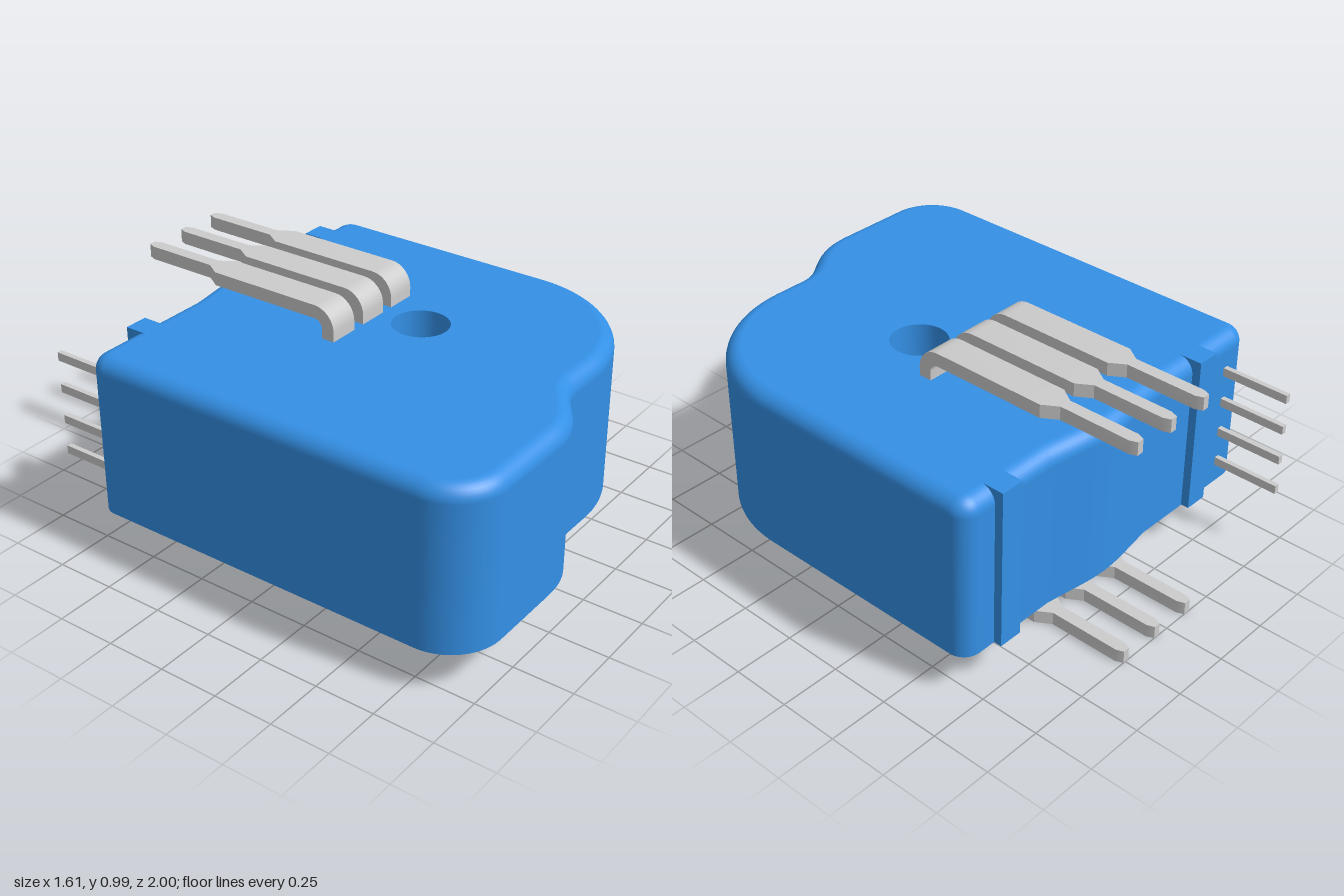
import * as THREE from 'three';
import { toCreasedNormals } from 'three/addons/utils/BufferGeometryUtils.js';

const blue = new THREE.MeshStandardMaterial({ color: 0x3490e6, side: THREE.DoubleSide });
const grey = new THREE.MeshStandardMaterial({ color: 0xcccccc });
const black = new THREE.MeshStandardMaterial({ color: 0x080808, side: THREE.DoubleSide });

const BOTTOM = 0.18, TOP = 0.855, ROUND = 0.065;
const HOLE = { x: 0.135, v: -0.145, r: 0.115 };

function add(parent, name, geometry, material) {
  const mesh = new THREE.Mesh(geometry, material);
  mesh.name = name;
  parent.add(mesh);
  return mesh;
}

// Plan outline, drawn with x right and v = -z up
function caseOutline() {
  const s = new THREE.Shape();
  s.moveTo(-0.81, 0.635);
  s.lineTo(-0.81, -0.78);
  s.absarc(-0.59, -0.78, 0.22, Math.PI, 1.5 * Math.PI);
  s.lineTo(-0.27, -1);
  s.bezierCurveTo(-0.05, -1, -0.02, -0.85, 0.12, -0.85);
  s.lineTo(0.25, -0.85);
  s.absarc(0.25, -0.3, 0.55, 1.5 * Math.PI, 2 * Math.PI);
  s.lineTo(0.8, 0.635);
  s.absarc(0.725, 0.635, 0.075, 0, Math.PI / 2);
  s.lineTo(0.36, 0.71);
  s.bezierCurveTo(0.24, 0.725, 0.16, 0.745, 0.07, 0.745);
  s.bezierCurveTo(-0.02, 0.745, -0.1, 0.725, -0.22, 0.71);
  s.lineTo(-0.735, 0.71);
  s.absarc(-0.735, 0.635, 0.075, Math.PI / 2, Math.PI);
  const pts = s.getPoints(20);
  return pts.filter((p, i) => p.distanceTo(pts[(i + 1) % pts.length]) > 1e-5);
}

function outwardNormals(pts) {
  const n = pts.length;
  return pts.map((p, i) => {
    const a = p.clone().sub(pts[(i + n - 1) % n]).normalize();
    const t = pts[(i + 1) % n].clone().sub(p).normalize().add(a).normalize();
    return new THREE.Vector2(t.y, -t.x);
  });
}

// Side wall with a rounded top edge
function wallGeometry(pts, normals) {
  const rows = [[BOTTOM, 0, 0]], steps = 8, n = pts.length;
  for (let k = 0; k <= steps; k++) {
    const a = (k / steps) * Math.PI / 2;
    rows.push([TOP - ROUND + ROUND * Math.sin(a), ROUND * (1 - Math.cos(a)), a]);
  }
  const pos = [], nor = [], idx = [];
  rows.forEach(([y, inset, a], r) => {
    for (let i = 0; i < n; i++) {
      const p = pts[i], m = normals[i], j = (i + 1) % n;
      pos.push(p.x - m.x * inset, y, -(p.y - m.y * inset));
      nor.push(m.x * Math.cos(a), Math.sin(a), -m.y * Math.cos(a));
      if (r > 0) {
        const lo = (r - 1) * n, hi = r * n;
        idx.push(lo + i, lo + j, hi + j, lo + i, hi + j, hi + i);
      }
    }
  });
  const g = new THREE.BufferGeometry();
  g.setAttribute('position', new THREE.Float32BufferAttribute(pos, 3));
  g.setAttribute('normal', new THREE.Float32BufferAttribute(nor, 3));
  g.setIndex(idx);
  return g;
}

function circlePath() {
  return new THREE.Path().absarc(HOLE.x, HOLE.v, HOLE.r, 0, 2 * Math.PI, true);
}

// Flat horizontal face at height y
function flatFace(pts, hole, y) {
  const s = new THREE.Shape(pts);
  s.holes.push(hole);
  return new THREE.ShapeGeometry(s, 24).rotateX(-Math.PI / 2).translate(0, y, 0);
}

// Collar round the hole, joined to a slotted bar that holds the lower leads
function bossGeometry() {
  const a = Math.asin(0.115 / 0.18);
  const s = new THREE.Shape();
  s.moveTo(-0.23, 0.145);
  s.lineTo(-0.23, -0.03);
  s.absarc(HOLE.x, HOLE.v, 0.18, Math.PI - a, 2 * Math.PI + a);
  s.lineTo(0.36, -0.03);
  s.lineTo(0.36, 0.145);
  s.closePath();
  const slot = new THREE.Path();
  slot.moveTo(-0.2, 0.005).lineTo(-0.2, 0.11).lineTo(0.33, 0.11).lineTo(0.33, 0.005).closePath();
  s.holes.push(circlePath(), slot);
  const g = new THREE.ExtrudeGeometry(s, { depth: 0.05, bevelEnabled: false, curveSegments: 24 });
  return toCreasedNormals(g.rotateX(-Math.PI / 2).translate(0, 0.13, 0), 0.5);
}

// Bent flat lead: rectangular sections swept up, round the bend and back to a narrow tip
function leadGeometry() {
  const R = 0.0625, T = 0.0275, z0 = -0.0575, y0 = 0.9575;
  const stations = [[z0, 0.8, 0, 0.065]];              // z, y, turn angle, half width
  for (let k = 0; k <= 8; k++) {
    const a = (k / 8) * Math.PI / 2;
    stations.push([z0 - R + R * Math.cos(a), y0 - R + R * Math.sin(a), a, 0.065]);
  }
  for (const [z, w] of [[-0.61, 0.065], [-0.67, 0.026], [-0.97, 0.026], [-1, 0.014]])
    stations.push([z, y0, Math.PI / 2, w]);
  const pos = [], idx = [];
  stations.forEach(([z, y, a, w], r) => {
    const dz = Math.cos(a) * T, dy = Math.sin(a) * T;
    pos.push(-w, y + dy, z + dz, w, y + dy, z + dz, w, y - dy, z - dz, -w, y - dy, z - dz);
    for (let i = 0; r > 0 && i < 4; i++) {
      const j = (i + 1) % 4, lo = (r - 1) * 4, hi = r * 4;
      idx.push(lo + i, lo + j, hi + j, lo + i, hi + j, hi + i);
    }
  });
  const e = (stations.length - 1) * 4;
  idx.push(e, e + 1, e + 2, e, e + 2, e + 3, 0, 2, 1, 0, 3, 2);
  const g = new THREE.BufferGeometry();
  g.setAttribute('position', new THREE.Float32BufferAttribute(pos, 3));
  g.setIndex(idx);
  return toCreasedNormals(g, 0.4);
}

export function createModel() {
  const model = new THREE.Group();
  model.name = 'currentSensor';

  // Case
  const outline = caseOutline(), normals = outwardNormals(outline);
  const inset = d => outline.map((p, i) => p.clone().addScaledVector(normals[i], -d));
  const housing = new THREE.Group();
  housing.name = 'case';
  model.add(housing);
  add(housing, 'caseWall', wallGeometry(outline, normals), blue);
  add(housing, 'caseTop', flatFace(inset(ROUND), circlePath(), TOP), blue);
  add(housing, 'bottomRim', flatFace(outline, new THREE.Path(inset(0.03)), BOTTOM), blue);
  add(housing, 'pottingFill', flatFace(inset(0.03), circlePath(), BOTTOM), black);
  const bore = new THREE.CylinderGeometry(HOLE.r, HOLE.r, TOP - BOTTOM, 48, 1, true);
  add(housing, 'throughHole', bore, blue).position.set(HOLE.x, (TOP + BOTTOM) / 2, -HOLE.v);
  add(housing, 'bottomBoss', bossGeometry(), blue);

  // Ribs on the back
  for (const x of [-0.505, 0.6]) {
    const rib = new THREE.BoxGeometry(0.1, TOP - BOTTOM - 0.002, 0.1);
    add(housing, 'backRib', rib, blue).position.set(x, (TOP + BOTTOM) / 2 + 0.001, -0.695);
  }

  // Power leads, mirrored above and below
  const lead = leadGeometry();
  for (const x of [-0.123, 0.063, 0.247]) {
    add(model, 'upperLead', lead, grey).position.x = x;
    const lower = add(model, 'lowerLead', lead, grey);
    lower.position.set(x, 0.985, 0);
    lower.scale.y = -1;
  }

  // Signal pins
  for (const y of [0.283, 0.424, 0.564, 0.705])
    add(model, 'signalPin', new THREE.BoxGeometry(0.022, 0.036, 0.32), grey).position.set(-0.677, y, -0.84);

  return model;
}
